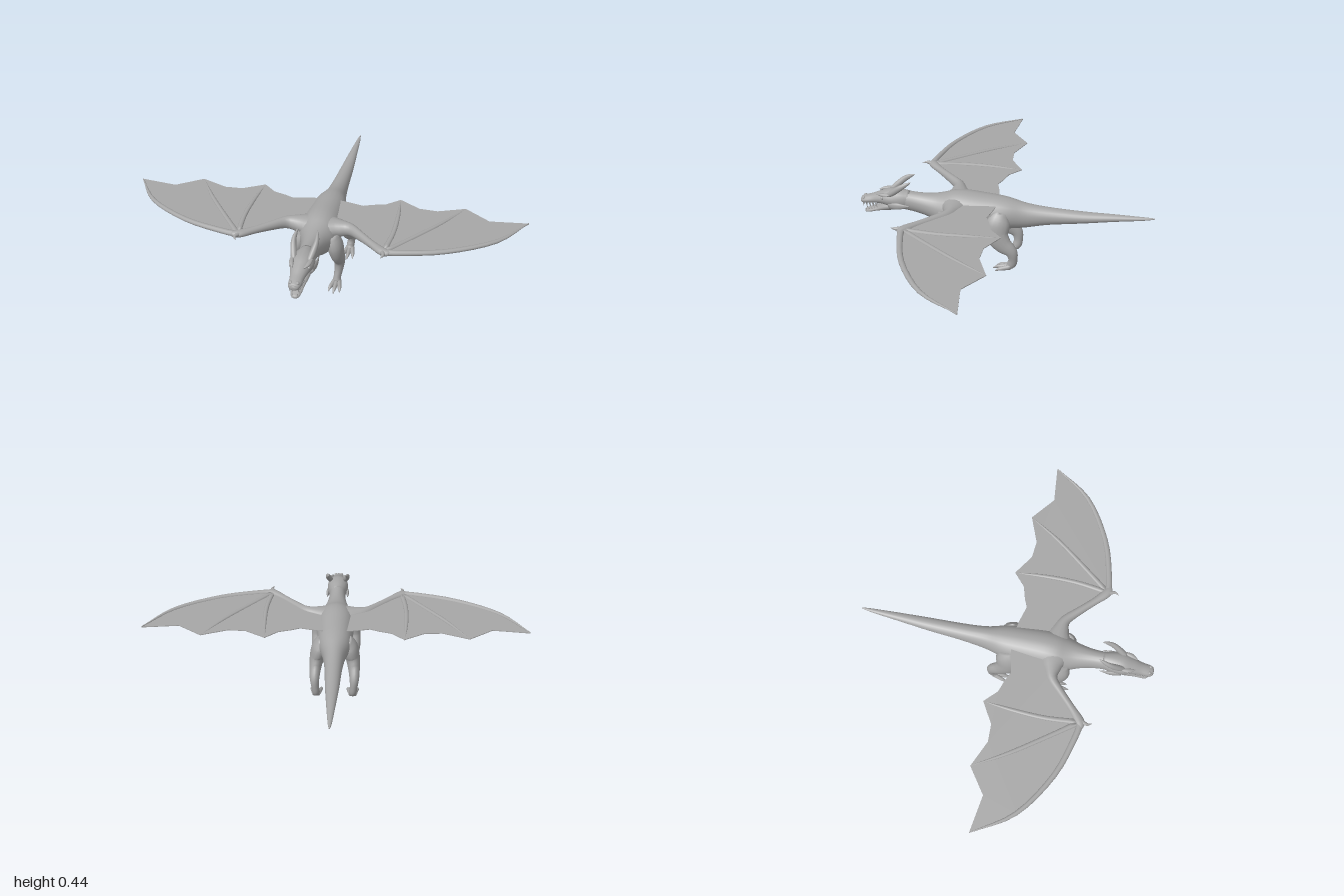
import * as THREE from 'three';

const hide = new THREE.MeshStandardMaterial({ color: 0xa6a6a6 });
hide.name = 'grey hide';

const X = new THREE.Vector3(1, 0, 0);
const Y = new THREE.Vector3(0, 1, 0);

// Smooth tube through rows of [x, y, z, radius along ref, radius across ref]
function loft(rows, ref = X, steps = 4, sides = 16) {
  const line = (f) => new THREE.CatmullRomCurve3(rows.map(f), false, 'catmullrom', 0.5);
  const path = line((r) => new THREE.Vector3(r[0], r[1], r[2]));
  const size = line((r) => new THREE.Vector3(r[3], r[4] ?? r[3], 0));
  const n = (rows.length - 1) * steps;
  const pos = [], idx = [];
  for (let i = 0; i <= n; i++) {
    const c = path.getPoint(i / n), r = size.getPoint(i / n);
    const t = path.getTangent(i / n);
    const u = ref.clone().addScaledVector(t, -ref.dot(t)).normalize();
    const v = t.clone().cross(u);
    for (let j = 0; j < sides; j++) {
      const a = (j / sides) * Math.PI * 2;
      const p = c.clone()
        .addScaledVector(u, Math.cos(a) * Math.max(r.x, 0.0005))
        .addScaledVector(v, Math.sin(a) * Math.max(r.y, 0.0005));
      pos.push(p.x, p.y, p.z);
      if (i < n) {
        const k = (j + 1) % sides, A = i * sides, B = A + sides;
        idx.push(A + j, A + k, B + k, A + j, B + k, B + j);
      }
    }
  }
  // End caps
  const last = n * sides;
  for (let j = 1; j < sides - 1; j++) idx.push(0, j + 1, j, last, last + j, last + j + 1);
  const g = new THREE.BufferGeometry();
  g.setAttribute('position', new THREE.Float32BufferAttribute(pos, 3));
  g.setIndex(idx);
  g.computeVertexNormals();
  return g;
}

function add(parent, name, geometry) {
  const m = new THREE.Mesh(geometry, hide);
  m.name = name;
  parent.add(m);
  return m;
}

function group(parent, name) {
  const g = new THREE.Group();
  g.name = name;
  parent.add(g);
  return g;
}

// Rows mirrored to one side of the model
const side = (s, rows) => rows.map(([x, ...rest]) => [s * x, ...rest]);

function addHead(root) {
  const head = group(root, 'head');
  add(head, 'skull', loft([
    [0, 0.315, 0.5, 0.04, 0.05], [0, 0.318, 0.55, 0.053, 0.055],
    [0, 0.325, 0.6, 0.056, 0.048], [0, 0.322, 0.645, 0.045, 0.034],
    [0, 0.312, 0.69, 0.034, 0.025], [0, 0.304, 0.73, 0.031, 0.021],
    [0, 0.3, 0.753, 0.024, 0.016], [0, 0.3, 0.76, 0.008, 0.006],
  ]));
  add(head, 'lowerJaw', loft([
    [0, 0.29, 0.57, 0.044, 0.03], [0, 0.277, 0.62, 0.042, 0.025],
    [0, 0.258, 0.67, 0.031, 0.014], [0, 0.244, 0.71, 0.026, 0.011],
    [0, 0.237, 0.735, 0.018, 0.009], [0, 0.236, 0.742, 0.005, 0.004],
  ]));
  for (const s of [1, -1]) {
    add(head, 'horn', loft(side(s, [
      [0.036, 0.35, 0.605, 0.012, 0.012], [0.045, 0.375, 0.575, 0.015, 0.016],
      [0.054, 0.408, 0.535, 0.012, 0.015], [0.051, 0.43, 0.5, 0.007, 0.009],
      [0.045, 0.442, 0.478, 0.001, 0.001],
    ])));
    add(head, 'cheekFrill', loft(side(s, [
      [0.042, 0.3, 0.6, 0.012, 0.02], [0.054, 0.3, 0.55, 0.009, 0.018],
      [0.056, 0.305, 0.49, 0.001, 0.002],
    ])));
    add(head, 'brow', loft(side(s, [
      [0.028, 0.35, 0.665, 0.003], [0.04, 0.354, 0.635, 0.011, 0.008],
      [0.046, 0.358, 0.59, 0.008, 0.006],
    ])));
    const eye = add(head, 'eye', new THREE.SphereGeometry(0.009, 12, 8));
    eye.position.set(s * 0.042, 0.336, 0.635);
    const nostril = add(head, 'nostril', new THREE.SphereGeometry(0.009, 10, 8));
    nostril.position.set(s * 0.016, 0.316, 0.74);
    // Teeth along both jaws
    for (let i = 0; i < 5; i++) {
      const z = 0.675 + i * 0.017;
      const upper = add(head, 'upperTooth', new THREE.ConeGeometry(0.005, 0.024, 6));
      upper.rotation.x = Math.PI;
      upper.position.set(s * (0.028 - i * 0.002), 0.283 - i * 0.001, z);
      const lower = add(head, 'lowerTooth', new THREE.ConeGeometry(0.004, 0.02, 6));
      lower.position.set(s * (0.025 - i * 0.003), 0.266 - i * 0.004, z - 0.008);
    }
  }
}

// Leg from path rows, with splayed clawed toes from the ankle
function addLeg(root, name, s, rows, x, z) {
  const leg = group(root, name);
  add(leg, 'limb', loft(side(s, rows)));
  for (const d of [-1, 0, 1]) {
    const reach = d ? 0.08 : 0.095;
    add(leg, 'toe', loft(side(s, [
      [x + d * 0.01, 0.022, z, 0.012, 0.016],
      [x + d * 0.02, 0.016, z + reach * 0.5, 0.011, 0.012],
      [x + d * 0.025, 0.012, z + reach * 0.75, 0.008, 0.009],
      [x + d * 0.028, 0.002, z + reach, 0.001, 0.001],
    ]), X, 3, 8));
  }
}

function addWing(root, s) {
  const wing = group(root, s > 0 ? 'leftWing' : 'rightWing');
  // Scalloped membrane
  const outline = [
    [0, 0.03], [0.1, 0.045], [0.18, 0.065], [0.225, 0.045], [0.29, 0.025], [0.355, -0.035],
    [0.46, 0.03], [0.55, 0.035], [0.685, 0.02 - 0.04], [0.81, 0.073], [1, 0.05],
    [0.86, 0.25], [0.64, 0.385], [0.37, 0.45], [0.34, 0.44], [0.165, 0.25], [0, 0.26],
  ].map(([x, z]) => new THREE.Vector2(s * x, z));
  const web = new THREE.ExtrudeGeometry(new THREE.Shape(outline), { depth: 0.004, bevelEnabled: false });
  add(wing, 'membrane', web.rotateX(Math.PI / 2).translate(0, 0.35, 0));
  // Arm, radii are height then width
  add(wing, 'arm', loft(side(s, [
    [0.04, 0.32, 0.25, 0.05, 0.08], [0.1, 0.325, 0.255, 0.042, 0.05],
    [0.16, 0.332, 0.27, 0.032, 0.028], [0.22, 0.338, 0.325, 0.024, 0.021],
    [0.29, 0.344, 0.395, 0.018, 0.019], [0.35, 0.348, 0.448, 0.017, 0.024],
    [0.385, 0.348, 0.455, 0.012, 0.014],
  ]), Y));
  add(wing, 'thumbClaw', loft(side(s, [
    [0.345, 0.35, 0.45, 0.013], [0.358, 0.354, 0.485, 0.008], [0.348, 0.352, 0.51, 0.001],
  ]), Y, 4, 8));
  // Leading edge and the two inner finger bones
  add(wing, 'leadingFinger', loft(side(s, [
    [0.345, 0.348, 0.452, 0.014, 0.018], [0.43, 0.349, 0.443, 0.013, 0.016],
    [0.64, 0.349, 0.382, 0.011, 0.014], [0.86, 0.35, 0.245, 0.009, 0.011],
    [0.997, 0.352, 0.052, 0.002, 0.002],
  ]), Y, 4, 10));
  add(wing, 'middleFinger', loft(side(s, [
    [0.365, 0.348, 0.435, 0.011, 0.014], [0.45, 0.349, 0.325, 0.009, 0.012],
    [0.58, 0.35, 0.15, 0.008, 0.01], [0.685, 0.348, -0.02, 0.002, 0.002],
  ]), Y, 4, 10));
  add(wing, 'innerFinger', loft(side(s, [
    [0.355, 0.348, 0.435, 0.011, 0.014], [0.371, 0.35, 0.28, 0.009, 0.012],
    [0.368, 0.35, 0.12, 0.008, 0.01], [0.355, 0.347, -0.035, 0.002, 0.002],
  ]), Y, 4, 10));
}

export function createModel() {
  const model = new THREE.Group();
  model.name = 'dragon';

  // Body, neck and tail in one sweep
  add(model, 'body', loft([
    [0, 0.313, -0.76, 0.003, 0.003], [0, 0.308, -0.7, 0.011, 0.009],
    [0, 0.3, -0.55, 0.023, 0.019], [0, 0.29, -0.4, 0.034, 0.03],
    [0, 0.283, -0.22, 0.044, 0.047], [0, 0.278, -0.1, 0.057, 0.068],
    [0, 0.284, 0, 0.083, 0.084], [0, 0.288, 0.1, 0.092, 0.092],
    [0, 0.287, 0.22, 0.1, 0.102], [0, 0.284, 0.3, 0.09, 0.092],
    [0, 0.295, 0.38, 0.062, 0.066], [0, 0.306, 0.46, 0.046, 0.054],
    [0, 0.318, 0.55, 0.043, 0.052],
  ], X, 5, 24));

  addHead(model);

  for (const s of [1, -1]) {
    const name = s > 0 ? 'left' : 'right';
    addWing(model, s);
    addLeg(model, name + 'FrontLeg', s, [
      [0.07, 0.3, 0.29, 0.035, 0.045], [0.088, 0.25, 0.294, 0.04, 0.055],
      [0.098, 0.195, 0.284, 0.034, 0.046], [0.102, 0.14, 0.252, 0.029, 0.034],
      [0.099, 0.09, 0.25, 0.023, 0.027], [0.094, 0.045, 0.262, 0.019, 0.024],
      [0.093, 0.018, 0.275, 0.022, 0.02], [0.093, 0.012, 0.29, 0.016, 0.011],
    ], 0.093, 0.265);
    addLeg(model, name + 'HindLeg', s, [
      [0.055, 0.31, 0.015, 0.03, 0.04], [0.078, 0.265, 0.025, 0.04, 0.062],
      [0.092, 0.205, 0.03, 0.038, 0.062], [0.1, 0.155, 0.0, 0.031, 0.05],
      [0.103, 0.115, -0.045, 0.025, 0.034], [0.1, 0.07, -0.056, 0.02, 0.024],
      [0.096, 0.035, -0.048, 0.02, 0.024], [0.095, 0.014, -0.025, 0.018, 0.013],
    ], 0.095, -0.045);
  }
  return model;
}
